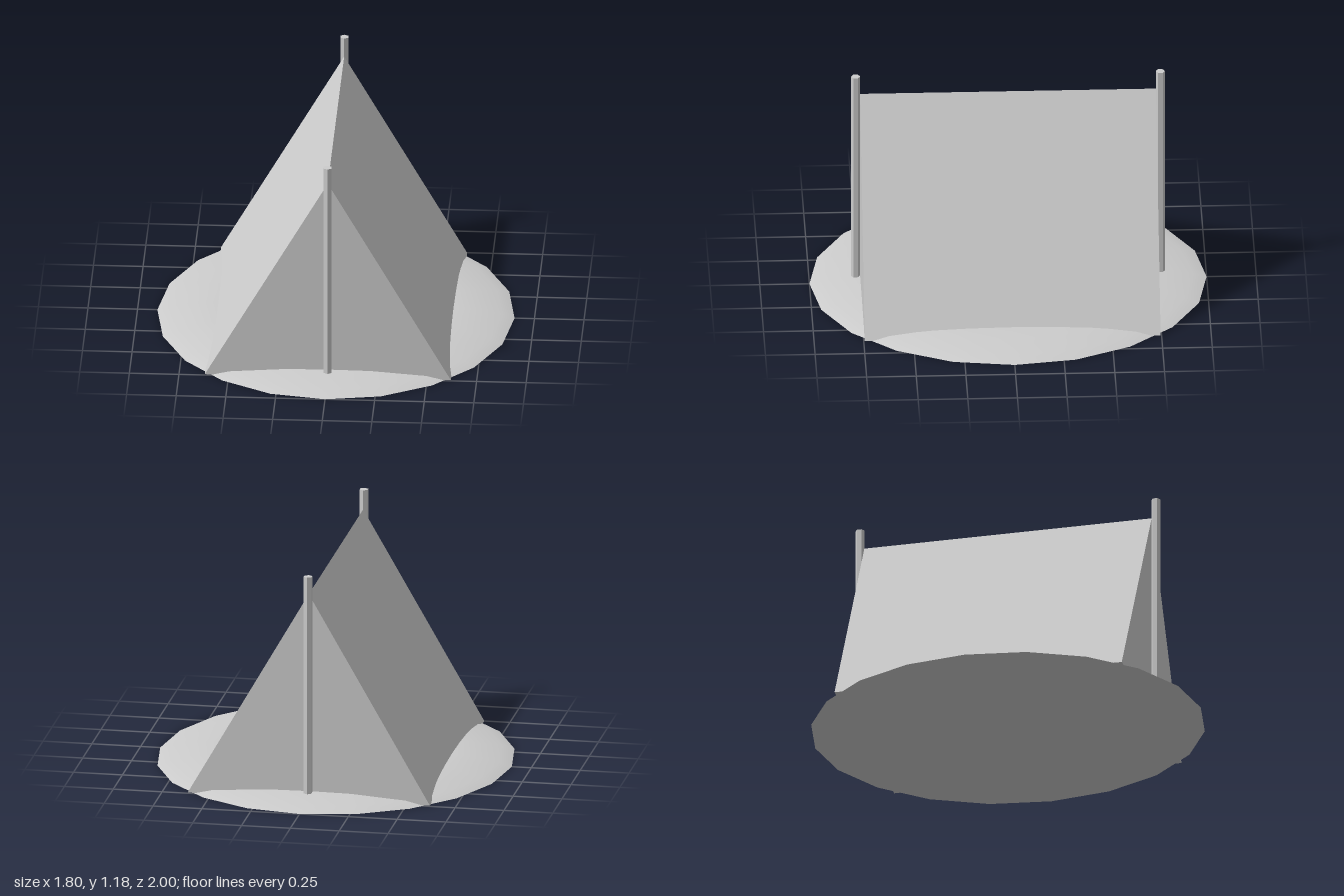
import * as THREE from 'three';

export function createModel() {
  const model = new THREE.Group();
  const grey = new THREE.MeshStandardMaterial({ color: 0xcccccc });
  grey.name = 'light grey';

  function add(name, geometry, x = 0, y = 0, z = 0) {
    const mesh = new THREE.Mesh(geometry, grey);
    mesh.name = name;
    mesh.position.set(x, y, z);
    model.add(mesh);
    return mesh;
  }

  // Low oval mound of ground, smooth on top with a flat underside
  const profile = [[1, 0], [0.93, 0.021], [0.78, 0.042], [0.66, 0.05], [0.35, 0.054], [0, 0.055]]
    .map(([r, y]) => new THREE.Vector2(r, y));
  add('groundMound', new THREE.LatheGeometry(profile, 20).scale(0.9, 1, 1));
  add('groundUnderside', new THREE.CircleGeometry(1, 20, Math.PI / 2).rotateX(Math.PI / 2).scale(0.9, 1, 1));

  // Ridge tent: a triangular prism sunk into the mound
  const depth = 1.49;
  const section = new THREE.Shape([
    new THREE.Vector2(-0.62, 0.002),
    new THREE.Vector2(0.62, 0.002),
    new THREE.Vector2(0, 1.08),
  ]);
  add('tentCanvas', new THREE.ExtrudeGeometry(section, { depth, bevelEnabled: false }), 0, 0, -depth / 2);

  // Upright poles at both ends of the ridge
  const poleHeight = 1.16;
  for (const [name, z] of [['frontPole', 0.767], ['backPole', -0.767]]) {
    const pole = new THREE.CylinderGeometry(0.023, 0.023, poleHeight, 6).toNonIndexed();
    pole.computeVertexNormals();
    add(name, pole, 0, 0.02 + poleHeight / 2, z);
  }

  return model;
}
